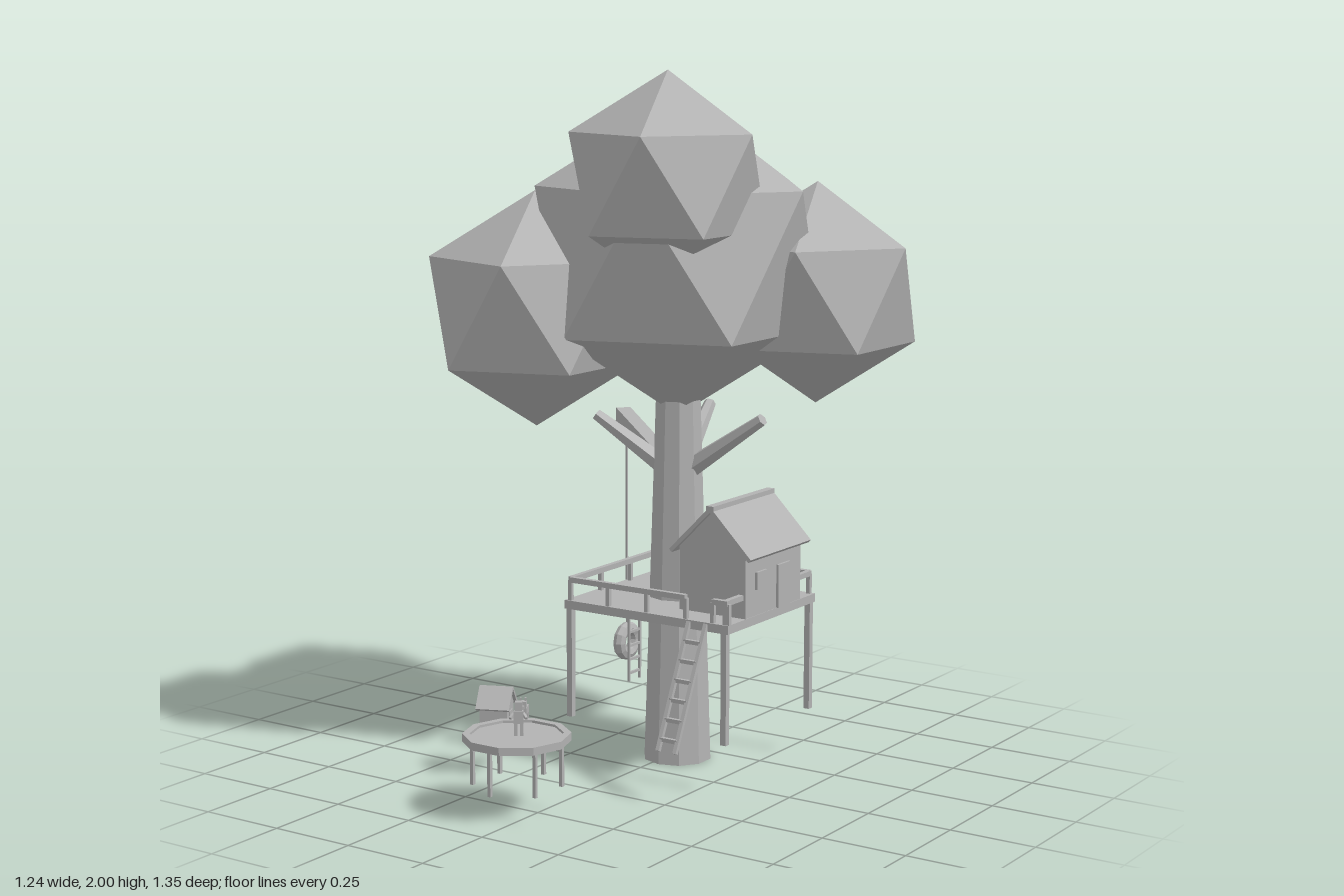
import * as THREE from 'three';
import { ConvexGeometry } from 'three/addons/geometries/ConvexGeometry.js';

export function createModel() {
  const model = new THREE.Group();
  model.name = 'treeHouse';
  const grey = new THREE.MeshStandardMaterial({ color: 0xb2b2b2, flatShading: true, side: THREE.DoubleSide });
  grey.name = 'grey';

  const add = (name, geometry, x = 0, y = 0, z = 0, parent = model) => {
    const mesh = new THREE.Mesh(geometry, grey);
    mesh.name = name;
    mesh.position.set(x, y, z);
    parent.add(mesh);
    return mesh;
  };
  const box = (name, w, h, d, x, y, z, parent) => add(name, new THREE.BoxGeometry(w, h, d), x, y, z, parent);

  // Straight bar between two points, tapering from r1 to r2
  const rod = (name, a, b, r1, r2 = r1, sides = 4, parent = model) => {
    const from = new THREE.Vector3(...a), to = new THREE.Vector3(...b);
    const g = new THREE.CylinderGeometry(r2, r1, from.distanceTo(to), sides);
    g.rotateY(Math.PI / 4).rotateX(Math.PI / 2);
    const mesh = new THREE.Mesh(g, grey);
    mesh.name = name;
    mesh.position.copy(from).lerp(to, 0.5);
    mesh.lookAt(to);
    parent.add(mesh);
    return mesh;
  };

  // Foliage: icosahedra standing on a corner
  const ico = (r) => {
    const pts = [new THREE.Vector3(0, r, 0), new THREE.Vector3(0, -r, 0)];
    for (let i = 0; i < 10; i++) {
      const a = i * Math.PI / 5, k = r * 0.8944;
      pts.push(new THREE.Vector3(k * Math.cos(a), (i % 2 ? -1 : 1) * r * 0.4472, k * Math.sin(a)));
    }
    return new ConvexGeometry(pts);
  };
  for (const [x, y, z, r] of [
    [0.025, 1.467, -0.155, 0.455],
    [0.1, 1.695, 0.015, 0.305],
    [0.333, 1.362, -0.405, 0.318],
    [-0.32, 1.318, 0.06, 0.338],
    [-0.121, 1.573, -0.425, 0.272],
  ]) add('foliage', ico(r), x, y, z);

  // Trunk and branches
  const cx = 0.025, cz = -0.155;
  add('trunk', new THREE.CylinderGeometry(0.062, 0.1, 1.2, 10), cx, 0.6, cz);
  for (const tip of [[0.305, 1.025, -0.16], [-0.205, 1.005, -0.075], [-0.03, 1.01, -0.41]])
    rod('branch', [cx, 0.835, cz], tip, 0.034, 0.018, 6);
  rod('swingBranch', [cx, 0.84, cz], [-0.425, 0.922, -0.53], 0.03, 0.032);

  // Tyre swing
  rod('swingRope', [-0.39, 0.91, -0.5], [-0.39, 0.26, -0.5], 0.004);
  add('tyre', new THREE.TorusGeometry(0.041, 0.02, 8, 12).rotateY(Math.PI / 2), -0.39, 0.215, -0.5);

  // Platform with four posts
  const x0 = -0.195, x1 = 0.33, z0 = -0.385, z1 = 0.07;
  box('platform', 0.555, 0.025, 0.475, 0.068, 0.472, -0.157);
  for (const x of [x0, x1]) for (const z of [z0, z1])
    box('platformPost', 0.018, 0.32, 0.018, x, 0.3, z);

  // Railings
  const rail = (a, b, n) => {
    rod('handrail', [a[0], 0.545, a[1]], [b[0], 0.545, b[1]], 0.011);
    for (let i = 0; i <= n; i++) {
      const t = i / n;
      box('railPost', 0.012, 0.06, 0.012, a[0] + (b[0] - a[0]) * t, 0.513, a[1] + (b[1] - a[1]) * t);
    }
  };
  rail([x0, z1], [0.2, z1], 3);
  rail([0.29, z1], [x1 + 0.01, z1], 1);
  rail([x0, z0], [x1, z0], 4);
  rail([x0, z0], [x0, z1], 3);
  rail([x1, z1], [x1, -0.02], 1);
  rail([x1, -0.3], [x1, z0], 1);

  // Flag
  box('flagPole', 0.014, 0.265, 0.014, -0.198, 0.615, z0);
  const flag = new THREE.BoxGeometry(0.092, 0.052, 0.006, 6, 1, 1);
  const p = flag.attributes.position;
  for (let i = 0; i < p.count; i++) {
    const w = Math.sin(p.getX(i) * 65);
    p.setZ(i, p.getZ(i) + 0.008 * w);
    p.setY(i, p.getY(i) + 0.003 * w);
  }
  add('flag', flag, -0.147, 0.698, z0);

  // Gabled hut: walls plus two roof slabs
  const hut = (name, w, wallH, apexH, depth, over, t) => {
    const g = new THREE.Group();
    g.name = name;
    const s = new THREE.Shape();
    s.moveTo(-w / 2, 0).lineTo(w / 2, 0).lineTo(w / 2, wallH).lineTo(0, apexH).lineTo(-w / 2, wallH);
    s.closePath();
    const walls = new THREE.ExtrudeGeometry(s, { depth, bevelEnabled: false });
    add('walls', walls, 0, 0, -depth / 2, g);
    const angle = Math.atan2(apexH - wallH, w / 2), len = w / 2 / Math.cos(angle) + over;
    for (const side of [-1, 1]) {
      const slab = box('roof', len, t, depth + over, side * len / 2 * Math.cos(angle),
        apexH - len / 2 * Math.sin(angle) + t / 2, 0, g);
      slab.rotation.z = -side * angle;
    }
    model.add(g);
    return g;
  };
  const house = hut('house', 0.22, 0.185, 0.295, 0.298, 0.03, 0.012);
  house.position.set(0.235, 0.485, -0.16);
  box('ridge', 0.024, 0.018, 0.328, 0, 0.302, 0, house);
  box('door', 0.009, 0.125, 0.064, 0.113, 0.063, -0.048, house);
  box('window', 0.009, 0.05, 0.054, 0.113, 0.1, 0.072, house);

  // Ladders: a leaning one at the front and a hanging one at the side
  const ladder = (name, top, bottom, half, rungs, r) => {
    const g = new THREE.Group();
    g.name = name;
    const at = (t, s) => top.map((v, i) => v + (bottom[i] - v) * t + half[i] * s);
    for (const s of [-1, 1]) rod('ladderSide', at(0, s), at(1, s), r, r, 4, g);
    for (let i = 1; i <= rungs; i++) {
      const t = i / (rungs + 0.6);
      rod('rung', at(t, -1), at(t, 1), r, r, 4, g);
    }
    model.add(g);
  };
  ladder('frontLadder', [0.245, 0.48, 0.08], [0.245, 0.145, 0.235], [0.028, 0, 0], 6, 0.008);
  ladder('ropeLadder', [-0.165, 0.465, -0.21], [-0.165, 0.19, -0.21], [0, 0, 0.028], 6, 0.005);

  // Trampoline
  const tx = -0.047, tz = 0.53;
  const rim = [[0.128, 0.203], [0.149, 0.203], [0.149, 0.225], [0.128, 0.225], [0.128, 0.203]];
  const spin = Math.PI / 10;
  add('trampolineRim', new THREE.LatheGeometry(rim.map((q) => new THREE.Vector2(...q)), 10, spin), tx, 0, tz);
  add('trampolineMat', new THREE.CylinderGeometry(0.131, 0.131, 0.008, 10, 1, false, spin), tx, 0.214, tz);
  for (let i = 0; i < 6; i++) {
    const a = i * Math.PI / 3;
    box('trampolineLeg', 0.01, 0.13, 0.01, tx + 0.122 * Math.sin(a), 0.142, tz + 0.122 * Math.cos(a));
  }

  // Small children
  const child = (x, y, z, turn) => {
    const g = new THREE.Group();
    g.name = 'child';
    for (const s of [-1, 1]) {
      box('leg', 0.009, 0.036, 0.01, s * 0.008, 0.018, 0, g);
      rod('arm', [s * 0.013, 0.062, 0], [s * 0.022, 0.052, 0.016], 0.005, 0.005, 4, g);
    }
    box('torso', 0.026, 0.034, 0.016, 0, 0.052, 0, g);
    box('head', 0.02, 0.024, 0.02, 0, 0.083, 0, g);
    g.position.set(x, y, z);
    g.rotation.y = turn;
    model.add(g);
  };
  child(tx + 0.005, 0.218, tz - 0.002, 0.6);
  child(0.145, 0.485, -0.347, 2.6);

  // Kennel and dog
  const kennel = hut('kennel', 0.076, 0.064, 0.106, 0.08, 0.018, 0.008);
  kennel.position.set(-0.305, 0.147, 0.282);
  kennel.rotation.y = Math.PI / 2 + 0.4;
  box('kennelDoor', 0.03, 0.045, 0.006, 0, 0.0225, 0.04, kennel);

  const dog = new THREE.Group();
  dog.name = 'dog';
  box('body', 0.02, 0.02, 0.046, 0, 0.03, 0, dog);
  box('head', 0.02, 0.02, 0.022, 0, 0.053, 0.026, dog);
  box('muzzle', 0.011, 0.01, 0.014, 0, 0.048, 0.042, dog);
  rod('tail', [0, 0.035, -0.021], [0, 0.058, -0.032], 0.004, 0.003, 4, dog);
  for (const x of [-0.007, 0.007]) {
    box('ear', 0.005, 0.01, 0.005, x, 0.066, 0.022, dog);
    for (const z of [-0.018, 0.018]) box('paw', 0.006, 0.022, 0.006, x, 0.011, z, dog);
  }
  dog.position.set(-0.268, 0.147, 0.2);
  dog.rotation.y = 0.5;
  model.add(dog);

  return model;
}
